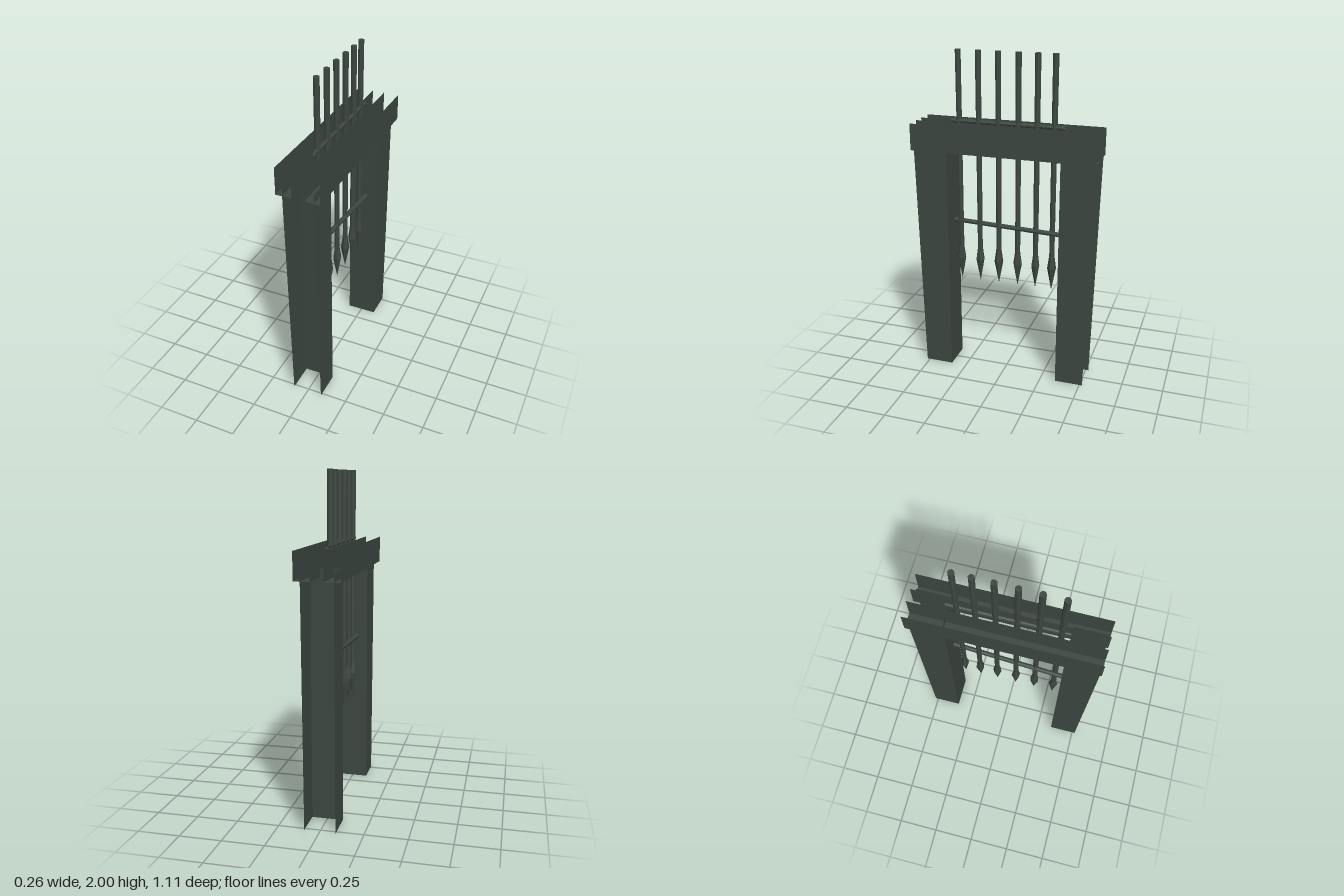
import * as THREE from 'three';

export function createModel() {
  const model = new THREE.Group();
  model.name = 'portcullisGate';
  const iron = new THREE.MeshStandardMaterial({ color: 0x3d4741, side: THREE.DoubleSide, flatShading: true });
  iron.name = 'darkIron';

  const add = (parent, name, geometry, x = 0, y = 0, z = 0) => {
    const mesh = new THREE.Mesh(geometry, iron);
    mesh.name = name;
    mesh.position.set(x, y, z);
    parent.add(mesh);
    return mesh;
  };

  // Flat sheet drawn in (z, y) and standing in the plane of the given x
  const sideSheet = (points, x) => {
    const shape = new THREE.Shape(points.map(([z, y]) => new THREE.Vector2(-z, y)));
    return new THREE.ShapeGeometry(shape).rotateY(Math.PI / 2).translate(x, 0, 0);
  };

  // Posts: channels open outwards, flanges widening towards the top
  const inner = 0.345, postTop = 1.47, halfWidth = 0.092;
  for (const s of [1, -1]) {
    const post = new THREE.Group();
    post.name = s > 0 ? 'frontPost' : 'backPost';
    add(post, 'postWeb', new THREE.PlaneGeometry(halfWidth * 2, postTop), 0, postTop / 2, s * inner);
    for (const x of [-halfWidth, halfWidth]) {
      add(post, 'postFlange', sideSheet(
        [[s * inner, 0], [s * 0.518, 0], [s * 0.553, postTop], [s * inner, postTop]], x));
    }
    model.add(post);
  }

  // Beams: a pair of channels open at the top and at both ends
  const halfLength = 0.555, beamLow = 1.42, beamTop = 1.58;
  for (const s of [1, -1]) {
    const beam = new THREE.Group();
    beam.name = s > 0 ? 'leftBeam' : 'rightBeam';
    for (const x of [0.037, 0.13]) {
      add(beam, 'beamSide', sideSheet(
        [[-halfLength, beamLow], [halfLength, beamLow], [halfLength, beamTop], [-halfLength, beamTop]], s * x));
    }
    add(beam, 'beamFloor', new THREE.PlaneGeometry(0.093, halfLength * 2).rotateX(-Math.PI / 2),
      s * 0.0835, beamLow, 0);
    model.add(beam);
  }

  // Cross bars, the lower one slightly askew
  const bar = (name, a, b, radius) => {
    const path = new THREE.LineCurve3(new THREE.Vector3(...a), new THREE.Vector3(...b));
    add(model, name, new THREE.TubeGeometry(path, 1, radius, 8));
  };
  bar('upperCrossBar', [-0.004, 1.587, inner], [-0.004, 1.587, -inner], 0.013);
  bar('lowerCrossBar', [-0.025, 0.957, inner], [0.015, 0.948, -inner], 0.015);

  // Spikes: a round rod with a faceted point
  [0.297, 0.175, 0.054, -0.067, -0.18, -0.282].forEach((z, i) => {
    const spike = new THREE.Group();
    spike.name = 'spike';
    spike.position.set(-0.006, 0, z);
    add(spike, 'spikeRod', new THREE.CylinderGeometry(0.018, 0.016, 1.22, 8), 0, 1.39, 0);
    const profile = [[0, 0.575], [0.027, 0.72], [0.016, 0.8], [0, 0.8]];
    const head = add(spike, 'spikeHead',
      new THREE.LatheGeometry(profile.map(([r, y]) => new THREE.Vector2(r, y)), 6));
    head.rotation.y = i * 0.7;
    model.add(spike);
  });

  return model;
}
